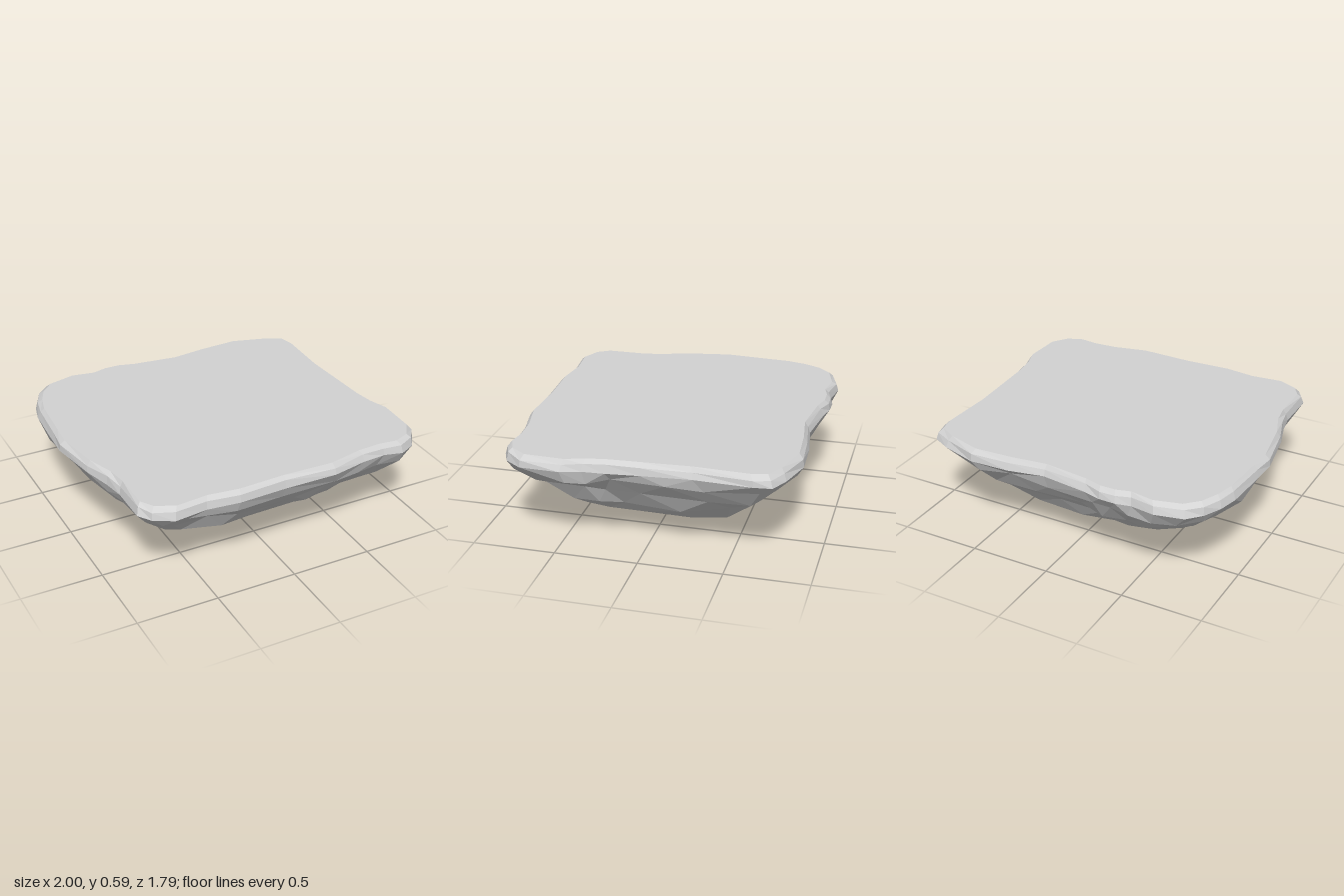
import * as THREE from 'three';

// Rim outline (x, z), clockwise seen from above
const RIM = [
  [-0.81, -0.85], [-0.64, -0.895], [-0.49, -0.87], [-0.4, -0.895], [-0.3, -0.895], [-0.19, -0.865],
  [0.1, -0.83], [0.33, -0.86], [0.58, -0.875], [0.8, -0.81], [0.91, -0.75], [0.93, -0.65],
  [0.915, -0.3], [0.93, 0], [0.94, 0.2], [0.96, 0.33], [1, 0.45], [0.99, 0.7], [0.92, 0.8],
  [0.82, 0.84], [0.7, 0.825], [0.55, 0.835], [0.33, 0.885], [0, 0.875], [-0.3, 0.89], [-0.5, 0.865],
  [-0.7, 0.885], [-0.82, 0.83], [-0.87, 0.75], [-0.87, 0.5], [-0.89, 0.37], [-0.95, 0.2],
  [-1, -0.1], [-0.99, -0.25], [-0.97, -0.54], [-0.94, -0.66], [-0.89, -0.77],
];

// Rings from top to base: height, x scale, z scale, x shift, roundness, points, roughness
const RINGS = [
  [0.59, 0.965, 0.96, 0, 0, 37, 0],
  [0.565, 0.99, 0.985, 0, 0, 37, 0.006],
  [0.52, 1, 1, 0, 0, 37, 0.006],
  [0.45, 0.965, 0.96, 0, 0.08, 32, 0.022],
  [0.345, 0.88, 0.865, 0, 0.2, 28, 0.028],
  [0.25, 0.8, 0.765, 0, 0.33, 24, 0.028],
  [0.16, 0.7, 0.65, 0.01, 0.48, 19, 0.024],
  [0.085, 0.43, 0.51, 0.04, 0.75, 13, 0.022],
  [0.012, 0.17, 0.23, 0.03, 1, 8, 0.008],
];

function seeded(seed) {
  return () => {
    seed = (seed * 16807) % 2147483647;
    return seed / 2147483647;
  };
}

// Point on the rim at fraction t of the way round
function rimPoint(t) {
  const s = (((t % 1) + 1) % 1) * RIM.length;
  const i = Math.floor(s) % RIM.length;
  const a = RIM[i], b = RIM[(i + 1) % RIM.length], f = s - Math.floor(s);
  return [a[0] + (b[0] - a[0]) * f, a[1] + (b[1] - a[1]) * f];
}

function makeRing([y, sx, sz, shift, round, n, rough], random) {
  const points = [];
  for (let i = 0; i < n; i++) {
    const jitter = rough > 0.01 ? (random() - 0.5) * 0.4 : 0;
    const [x, z] = rimPoint((i + jitter) / n);
    // Blend the squarish rim towards an ellipse lower down
    const len = Math.hypot(x / 0.97, z / 0.87);
    const k = 1 + (1 / len - 1) * round;
    const r = k * (1 + (random() - 0.5) * 2 * rough);
    points.push(new THREE.Vector3(x * sx * r + shift, y + (random() - 0.5) * 2 * rough, z * sz * r));
  }
  return points;
}

function buildRock() {
  const random = seeded(4271);
  const rings = RINGS.map((r) => makeRing(r, random));
  const positions = [];
  const tri = (...corners) => corners.forEach((p) => positions.push(p.x, p.y, p.z));

  // Flat top
  const top = rings[0], centre = new THREE.Vector3(0, 0.59, 0);
  top.forEach((p, i) => tri(centre, top[(i + 1) % top.length], p));

  // Stitch neighbouring rings, which may differ in point count
  for (let k = 0; k + 1 < rings.length; k++) {
    const U = rings[k], L = rings[k + 1];
    let i = 0, j = 0;
    while (i < U.length || j < L.length) {
      const u = U[i % U.length], l = L[j % L.length];
      if (j >= L.length || (i < U.length && (i + 0.5) / U.length <= (j + 0.5) / L.length)) {
        tri(u, U[++i % U.length], l);
      } else {
        tri(u, L[++j % L.length], l);
      }
    }
  }

  // Blunt base
  const base = rings[rings.length - 1], tip = new THREE.Vector3(-0.05, 0, 0);
  base.forEach((p, i) => tri(p, base[(i + 1) % base.length], tip));

  const geometry = new THREE.BufferGeometry();
  geometry.setAttribute('position', new THREE.Float32BufferAttribute(positions, 3));
  geometry.computeVertexNormals();
  return geometry;
}

export function createModel() {
  const group = new THREE.Group();
  group.name = 'floatingRock';
  const stone = new THREE.MeshStandardMaterial({ color: 0xd3d3d3, flatShading: true });
  stone.name = 'pale grey stone';
  const rock = new THREE.Mesh(buildRock(), stone);
  rock.name = 'rock';
  group.add(rock);
  return group;
}
